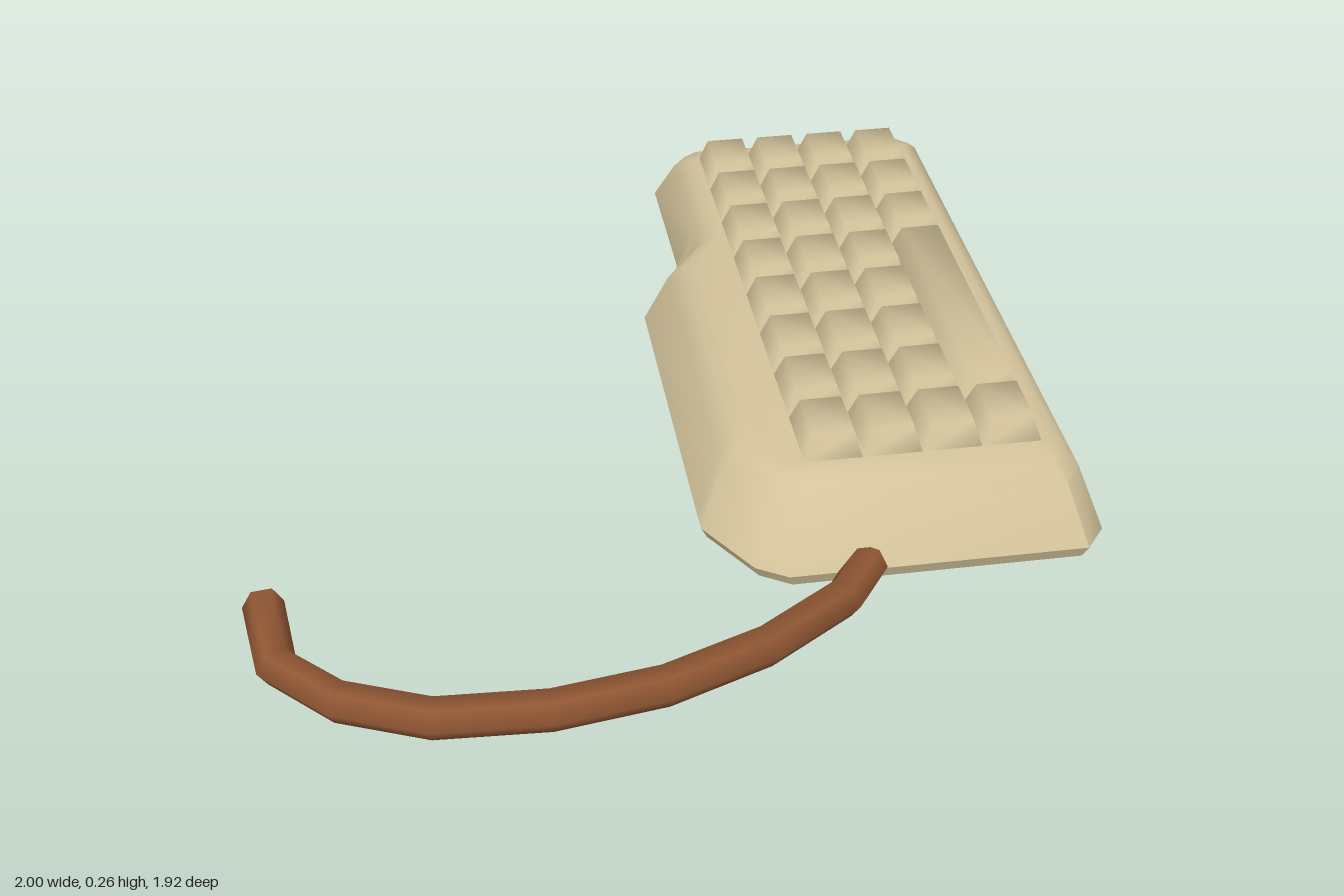
import * as THREE from 'three';
import { toCreasedNormals } from 'three/addons/utils/BufferGeometryUtils.js';

// Skin a stack of closed rings (arrays of Vector3), with optional flat end caps
function loft(rings, crease, bottom, top) {
  const n = rings[0].length;
  const index = [];
  for (let r = 0; r < rings.length - 1; r++) {
    for (let i = 0; i < n; i++) {
      const a = r * n + i, b = r * n + (i + 1) % n;
      index.push(a, a + n, b, b, a + n, b + n);
    }
  }
  const cap = (r, flip) => {
    const flat = rings[r].map((p) => new THREE.Vector2(p.x, p.z));
    for (const [a, b, c] of THREE.ShapeUtils.triangulateShape(flat, [])) {
      index.push(r * n + a, r * n + (flip ? c : b), r * n + (flip ? b : c));
    }
  };
  if (bottom) cap(0, false);
  if (top) cap(rings.length - 1, true);
  const g = new THREE.BufferGeometry().setFromPoints(rings.flat());
  g.setIndex(index);
  return toCreasedNormals(g, crease);
}

export function createModel() {
  const model = new THREE.Group();
  model.name = 'keypad';
  const beige = new THREE.MeshStandardMaterial({ color: 0xd3c39b });
  beige.name = 'beige plastic';
  const brown = new THREE.MeshStandardMaterial({ color: 0x8f5633, side: THREE.DoubleSide });
  brown.name = 'brown cable';

  const add = (parent, name, geometry, material) => {
    const mesh = new THREE.Mesh(geometry, material);
    mesh.name = name;
    parent.add(mesh);
    return mesh;
  };

  // Keypad stands slightly turned
  const pad = new THREE.Group();
  pad.name = 'pad';
  pad.position.set(0.527, 0, -0.11);
  pad.rotation.y = -0.131;
  model.add(pad);

  // Housing: one outline with a wider lower left, drawn in towards the top
  const outline = [
    [-0.316, -0.82], [0.329, -0.82], [0.375, -0.775], [0.375, 0.768], [0.328, 0.826],
    [-0.317, 0.826], [-0.383, 0.786], [-0.472, 0.642], [-0.473, 0.596], [-0.472, -0.183],
    [-0.376, -0.314], [-0.356, -0.407], [-0.356, -0.775],
  ];
  // height, width scale, length scale
  const levels = [[0.004, 0.97, 0.985], [0.035, 1, 1], [0.155, 0.885, 0.91], [0.186, 0.815, 0.87], [0.2, 0.75, 0.83]];
  const housing = levels.map(([y, su, sv]) => outline.map(([u, v]) => new THREE.Vector3(u * su, y, v * sv)));
  add(pad, 'housing', loft(housing, 0.7, true, true), beige);

  // Keys: tapered blocks, softly shaded, four columns by eight rows
  const W = 0.518, L = 1.316, cw = W / 4, cl = L / 8;
  const rect = (u0, u1, v0, v1, y, inset) => [
    [u0 + inset, v0 + inset], [u1 - inset, v0 + inset], [u1 - inset, v1 - inset], [u0 + inset, v1 - inset],
  ].map(([u, v]) => new THREE.Vector3(u, y, v));
  const keys = new THREE.Group();
  keys.name = 'keys';
  pad.add(keys);
  const addKey = (name, col, row, rows) => {
    const u = -W / 2 + col * cw, v = -L / 2 + row * cl;
    const rings = [
      rect(u, u + cw, v, v + rows * cl, 0.198, 0.001),
      rect(u, u + cw, v, v + rows * cl, 0.258, 0.02),
    ];
    add(keys, name, loft(rings, Math.PI, false, true), beige);
  };
  for (let row = 0; row < 8; row++) {
    for (let col = 0; col < 4; col++) {
      if (col === 3 && row >= 3 && row <= 6) continue;
      addKey('key', col, row, 1);
    }
  }
  addKey('tallKey', 3, 3, 4);

  // Cable: six-sided tube lying on the ground
  const path = [
    [-0.957, 0.45], [-0.957, 0.642], [-0.855, 0.775], [-0.69, 0.87], [-0.465, 0.912],
    [-0.235, 0.908], [-0.01, 0.855], [0.19, 0.76], [0.28, 0.665],
  ].map(([x, z]) => new THREE.Vector3(x, 0.0375, z));
  const up = new THREE.Vector3(0, 1, 0);
  const rings = path.map((p, i) => {
    const before = path[Math.max(i - 1, 0)], after = path[Math.min(i + 1, path.length - 1)];
    const side = after.clone().sub(before).normalize().cross(up);
    return Array.from({ length: 6 }, (_, k) => {
      const a = k * Math.PI / 3;
      return p.clone().addScaledVector(side, 0.043 * Math.cos(a)).addScaledVector(up, 0.043 * Math.sin(a));
    });
  });
  add(model, 'cable', loft(rings, 1.2, false, false), brown);

  return model;
}
